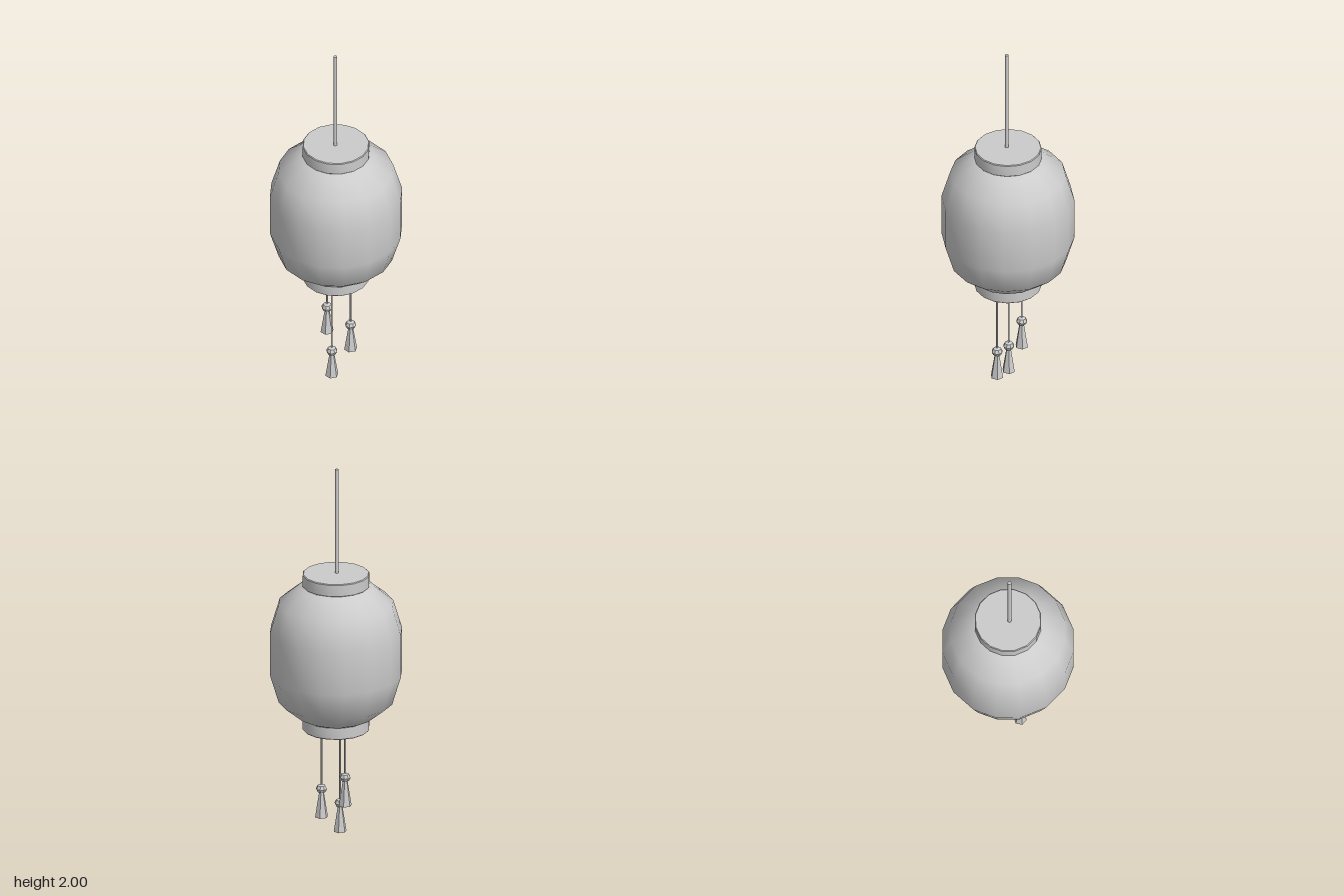
import * as THREE from 'three';
import { toCreasedNormals } from 'three/addons/utils/BufferGeometryUtils.js';

const smooth = new THREE.MeshStandardMaterial({ color: 0xcccccc });
const faceted = new THREE.MeshStandardMaterial({ color: 0xcccccc, flatShading: true });

// Turned part from [radius, height] pairs, listed bottom to top
function turned(points, sides) {
  return new THREE.LatheGeometry(points.map(([r, y]) => new THREE.Vector2(r, y)), sides);
}

function add(parent, name, geometry, x = 0, y = 0, z = 0, material = smooth) {
  const mesh = new THREE.Mesh(geometry, material);
  mesh.name = name;
  mesh.position.set(x, y, z);
  parent.add(mesh);
  return mesh;
}

// Rounded paper shade, its 16 sides slightly uneven
function shadeGeometry() {
  const half = [[0.34, 0.115], [0.295, 0.265], [0.2, 0.343], [0.165, 0.36]];
  const lower = half.map(([r, y]) => [r, -y]).reverse();
  const geometry = turned([...lower, ...half], 16);
  const p = geometry.attributes.position;
  for (let i = 0; i < p.count; i++) {
    const r = Math.hypot(p.getX(i), p.getZ(i));
    let a = Math.atan2(p.getZ(i), p.getX(i));
    a -= 0.028 * Math.sin(4 * a);
    p.setX(i, r * Math.cos(a));
    p.setZ(i, r * Math.sin(a));
  }
  return geometry;
}

// Thin cord hanging from the lower rim with a knot and a flared tassel
function tassel(x, knotY, z) {
  const group = new THREE.Group();
  group.name = 'tassel';
  group.position.set(x, knotY, z);
  const length = 0.6 - knotY;
  add(group, 'tasselCord', new THREE.CylinderGeometry(0.005, 0.005, length, 8), 0, length / 2, 0);
  const knot = add(group, 'tasselKnot', new THREE.SphereGeometry(0.029, 8, 4), 0, 0, 0, faceted);
  knot.scale.y = 0.85;
  const skirt = turned([[0, -0.163], [0.034, -0.153], [0.012, -0.015], [0, -0.012]], 6);
  add(group, 'tasselSkirt', skirt, 0, 0, 0, faceted);
  return group;
}

export function createModel() {
  const lantern = new THREE.Group();
  lantern.name = 'lantern';

  add(lantern, 'shade', shadeGeometry(), 0, 1.012, 0);

  // Rims closing the shade at both ends
  const rim = toCreasedNormals(turned([
    [0, -0.034], [0.168, -0.034], [0.172, -0.03], [0.172, 0.03], [0.168, 0.034], [0, 0.034],
  ], 16), 0.6);
  add(lantern, 'upperRim', rim, 0, 1.403, 0);
  add(lantern, 'lowerRim', rim, 0, 0.625, 0);

  // Hanging rod
  add(lantern, 'hangingRod', new THREE.CylinderGeometry(0.0095, 0.0095, 0.58, 12), -0.002, 1.71, 0.008);

  // Three tassels at staggered heights
  [[-0.06, 0.349, -0.05], [0.068, 0.271, -0.035], [-0.006, 0.163, 0.064]]
    .forEach((place) => lantern.add(tassel(...place)));

  return lantern;
}
